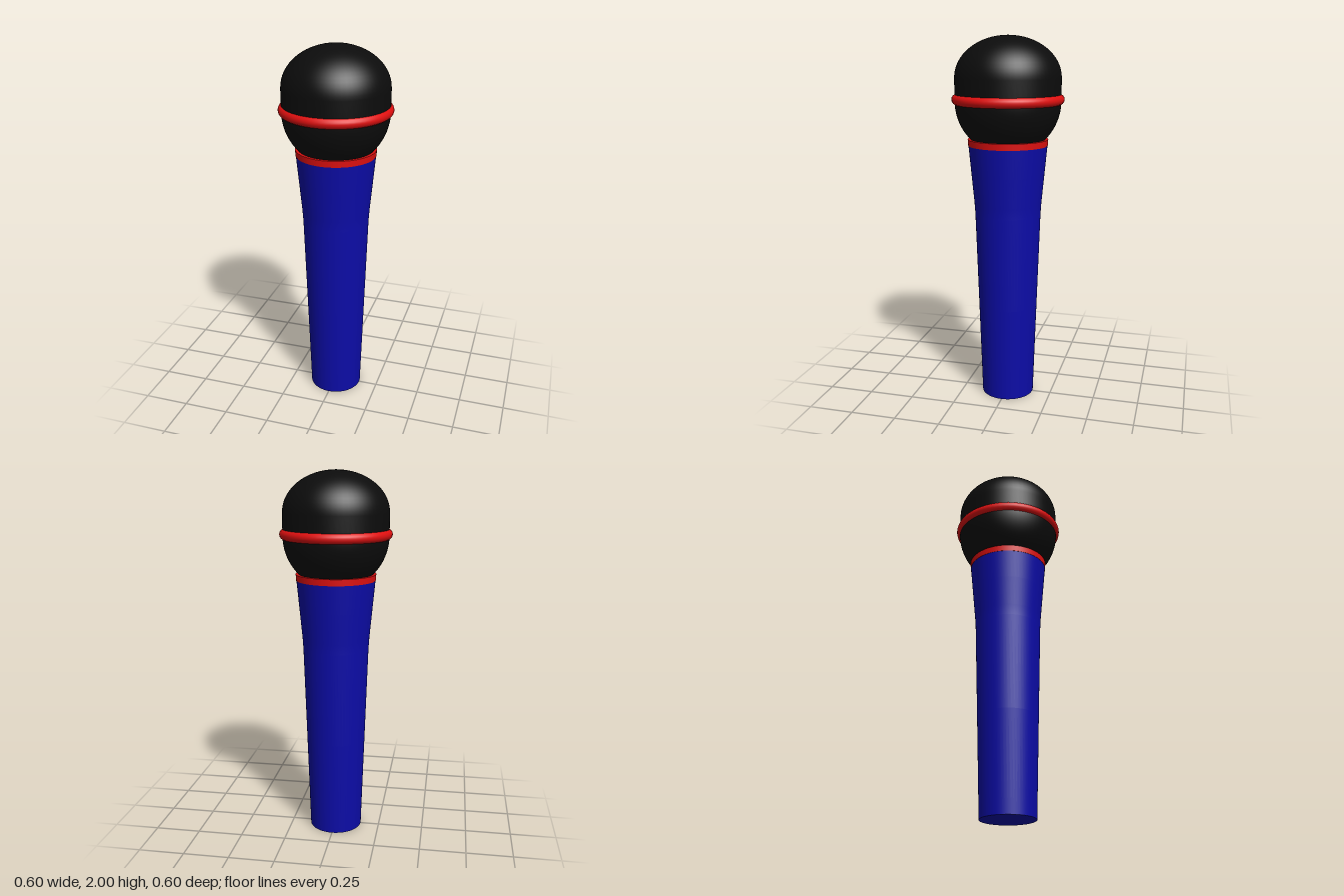
import * as THREE from 'three';

const SEGMENTS = 64;
const BLUE = 0x0c0ca8, RED = 0xe01010, BLACK = 0x0c0c0c;

export function createModel() {
  const model = new THREE.Group();

  function add(name, geometry, color, y = 0) {
    const mesh = new THREE.Mesh(geometry, new THREE.MeshStandardMaterial({ color }));
    mesh.name = name;
    mesh.position.y = y;
    model.add(mesh);
    return mesh;
  }
  const lathe = (points) =>
    new THREE.LatheGeometry(points.map(([r, y]) => new THREE.Vector2(r, y)), SEGMENTS);

  // Handle: slow taper, then a flare towards the head
  add('handle', lathe([[0.145, 0], [0.162, 0.53], [0.179, 1.05], [0.183, 1.11], [0.198, 1.27], [0.213, 1.43]]), BLUE);
  add('handleEnd', new THREE.CircleGeometry(0.145, SEGMENTS).rotateX(Math.PI / 2), BLUE);

  // Collar between handle and head
  add('collar', new THREE.CylinderGeometry(0.216, 0.214, 0.034, SEGMENTS), RED, 1.441);

  // Head: round lower bowl, short straight wall, flattened dome
  const R = 0.283, bowlY = 1.66, domeY = 1.78, steps = 16;
  const profile = [];
  for (let i = 0; i <= steps; i++) {
    const a = (Math.PI / 4) * (1 - i / steps);
    profile.push([R * Math.cos(a), bowlY - 0.286 * Math.sin(a)]);
  }
  for (let i = 0; i <= steps; i++) {
    const a = (Math.PI / 2) * (i / steps);
    profile.push([i === steps ? 0 : R * Math.cos(a), domeY + 0.22 * Math.sin(a)]);
  }
  add('head', lathe(profile), BLACK);

  // Band around the widest part of the head
  add('headBand', new THREE.TorusGeometry(0.272, 0.028, 16, SEGMENTS).rotateX(Math.PI / 2), RED, 1.669);

  return model;
}
